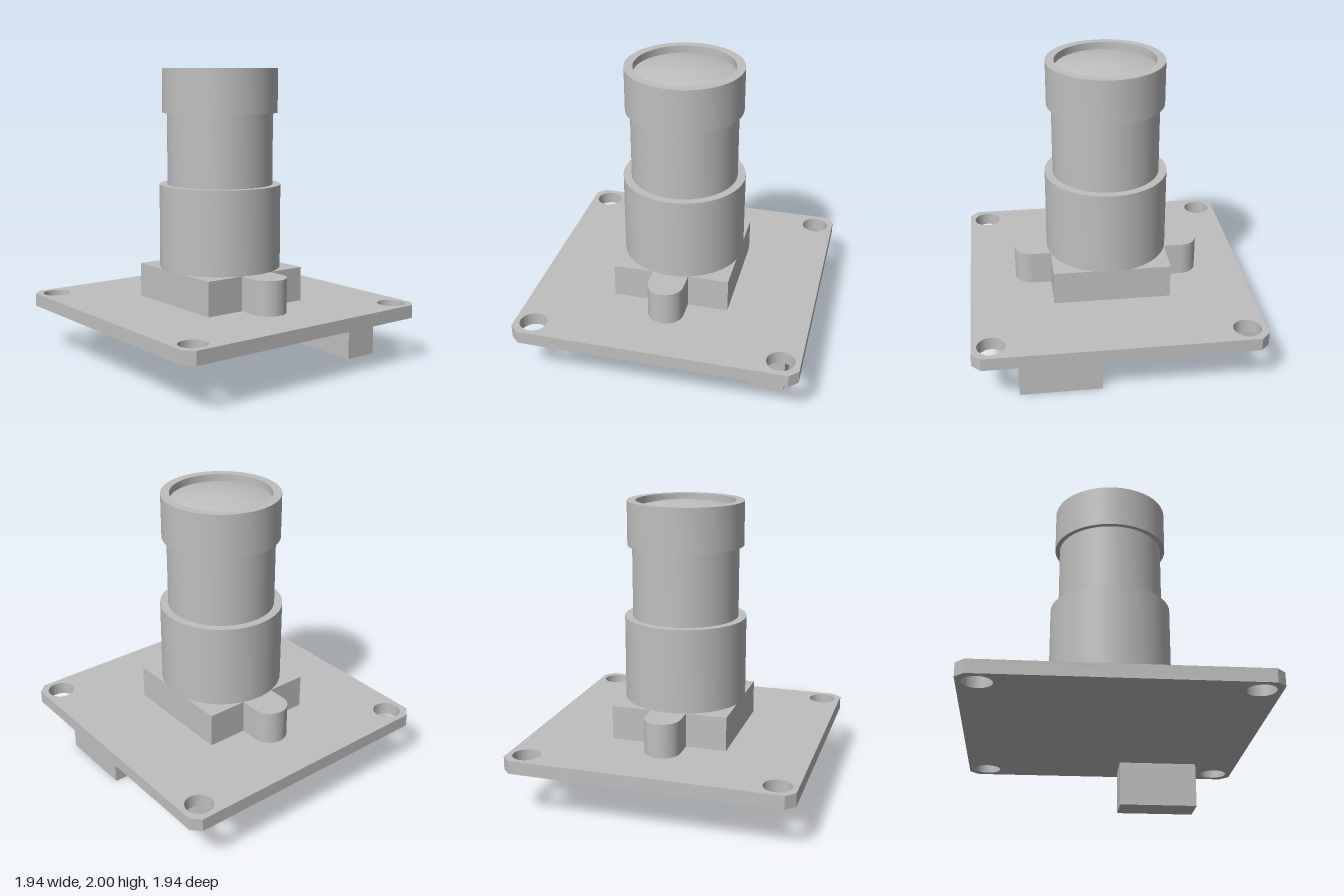
import * as THREE from 'three';
import { toCreasedNormals } from 'three/addons/utils/BufferGeometryUtils.js';

export function createModel() {
  const model = new THREE.Group();
  const grey = new THREE.MeshStandardMaterial({ color: 0xbfbfbf });
  grey.name = 'lightGrey';

  const add = (name, geometry) => {
    const mesh = new THREE.Mesh(geometry, grey);
    mesh.name = name;
    model.add(mesh);
    return mesh;
  };
  // Plan outline raised from y0 to y1
  const slab = (shape, y0, y1) => {
    const g = new THREE.ExtrudeGeometry(shape, { depth: y1 - y0, bevelEnabled: false, curveSegments: 32 });
    return toCreasedNormals(g.rotateX(-Math.PI / 2).translate(0, y0, 0), 0.5);
  };
  // Turned part, profile listed as [radius, y] from the bottom outwards
  const turned = (points) => toCreasedNormals(
    new THREE.LatheGeometry(points.map(([r, y]) => new THREE.Vector2(r, y)), 72), 0.5);

  // Board with clipped corners and four mounting holes
  const h = 0.97, c = 0.91;
  const outline = new THREE.Shape([
    [-c, -h], [c, -h], [h, -c], [h, c], [c, h], [-c, h], [-h, c], [-h, -c],
  ].map(([x, y]) => new THREE.Vector2(x, y)));
  for (const x of [-0.84, 0.84]) {
    for (const y of [-0.84, 0.84]) {
      outline.holes.push(new THREE.Path().absarc(x, y, 0.093, 0, Math.PI * 2, true));
    }
  }
  add('board', slab(outline, 0.31, 0.4));

  // Square lens mount with a rounded ear on each side
  add('mountBase', new THREE.BoxGeometry(0.8, 0.235, 0.8)).position.y = 0.5175;
  for (const side of [-1, 1]) {
    const r = 0.122, ear = new THREE.Shape();
    ear.moveTo(0.39, -r);
    ear.lineTo(0.525, -r);
    ear.absarc(0.525, 0, r, -Math.PI / 2, Math.PI / 2, false);
    ear.lineTo(0.39, r);
    const g = slab(ear, 0.4, 0.635);
    if (side < 0) g.rotateY(Math.PI);
    add(side > 0 ? 'leftEar' : 'rightEar', g);
  }

  // Stepped barrel, ending in a rim with a shallow bore
  add('holderBarrel', turned([[0, 0.635], [0.418, 0.635], [0.418, 1.21], [0.36, 1.21]]));
  add('lensBarrel', turned([[0.363, 1.2], [0.363, 1.7]]));
  add('lensRim', turned([[0.36, 1.7], [0.395, 1.7], [0.395, 2], [0.337, 2], [0.337, 1.93]]));

  // Shallow domed glass
  const dome = [];
  for (let i = 0; i <= 10; i++) {
    const t = 1 - i / 10;
    dome.push([0.337 * t, 1.95 + 0.045 * (1 - t * t)]);
  }
  add('lensGlass', turned(dome));

  // Connector under the board, towards the back
  add('connector', new THREE.BoxGeometry(0.55, 0.31, 0.24)).position.set(0.395, 0.155, -0.73);

  return model;
}
